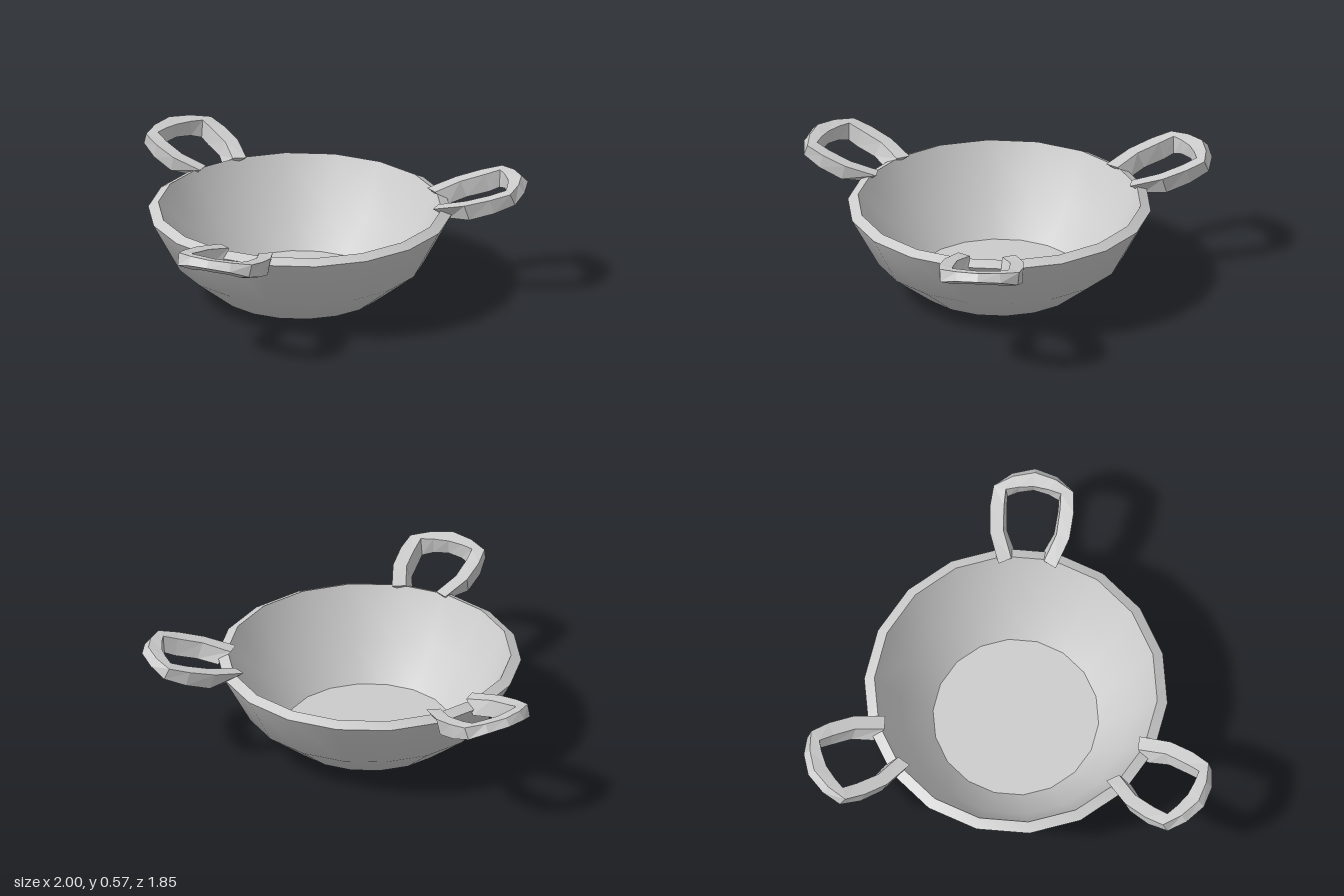
import * as THREE from 'three';
import { toCreasedNormals } from 'three/addons/utils/BufferGeometryUtils.js';

const CENTRE_Z = -0.2;

// Half of a handle: per station, corners [x, y, z] in the order
// inner top, outer top, outer bottom, inner bottom; last station is the tip.
const HALF_HANDLE = [
  [[0.08, 0.465, 0.47], [0.14, 0.465, 0.437], [0.115, 0.405, 0.52], [0.07, 0.405, 0.535]],
  [[0.13, 0.497, 0.60], [0.195, 0.497, 0.585], [0.19, 0.42, 0.61], [0.115, 0.42, 0.63]],
  [[0.137, 0.525, 0.72], [0.205, 0.525, 0.71], [0.205, 0.455, 0.73], [0.125, 0.44, 0.74]],
  [[0.135, 0.547, 0.795], [0.195, 0.547, 0.81], [0.19, 0.49, 0.835], [0.125, 0.46, 0.79]],
  [[0.075, 0.55, 0.81], [0.105, 0.56, 0.86], [0.11, 0.522, 0.89], [0.075, 0.475, 0.81]],
  [[0, 0.55, 0.82], [0, 0.567, 0.886], [0, 0.535, 0.918], [0, 0.48, 0.825]],
];

// Joins four-cornered sections into a capped, flat-faced bar
function makeHandleGeometry() {
  const mirrored = HALF_HANDLE.slice(0, -1).reverse()
    .map((section) => section.map(([x, y, z]) => [-x, y, z]));
  const sections = [...HALF_HANDLE, ...mirrored];
  const positions = [];
  const quad = (a, b, c, d) => positions.push(...a, ...b, ...c, ...a, ...c, ...d);

  for (let i = 0; i < sections.length - 1; i++) {
    const p = sections[i];
    const q = sections[i + 1];
    for (let k = 0; k < 4; k++) {
      const n = (k + 1) % 4;
      quad(p[k], q[k], q[n], p[n]);
    }
  }
  quad(...sections[0]);
  quad(...[...sections[sections.length - 1]].reverse());

  const geometry = new THREE.BufferGeometry();
  geometry.setAttribute('position', new THREE.Float32BufferAttribute(positions, 3));
  geometry.translate(0, 0, -CENTRE_Z);
  geometry.computeVertexNormals();
  return geometry;
}

export function createModel() {
  const model = new THREE.Group();
  model.name = 'threeHandledBowl';
  const smooth = new THREE.MeshStandardMaterial({ color: 0xcccccc });
  const faceted = new THREE.MeshStandardMaterial({ color: 0xcccccc, flatShading: true });

  // Thick-walled bowl: outer base and wall, slanted rim, inner wall and floor
  const profile = [
    [0, 0], [0.405, 0.02], [0.608, 0.18], [0.742, 0.43],
    [0.692, 0.455], [0.565, 0.215], [0.405, 0.055], [0, 0.055],
  ].map(([r, y]) => new THREE.Vector2(r, y));
  const lathe = new THREE.LatheGeometry(profile, 18, Math.PI / 18);
  const bowl = new THREE.Mesh(toCreasedNormals(lathe, Math.PI / 6), smooth);
  bowl.name = 'bowl';
  bowl.position.z = CENTRE_Z;
  model.add(bowl);

  // Three looped handles evenly spaced around the rim
  const handleGeometry = makeHandleGeometry();
  ['frontHandle', 'backLeftHandle', 'backRightHandle'].forEach((name, i) => {
    const handle = new THREE.Mesh(handleGeometry, faceted);
    handle.name = name;
    handle.position.z = CENTRE_Z;
    handle.rotation.y = (i * 2 * Math.PI) / 3;
    model.add(handle);
  });

  return model;
}
